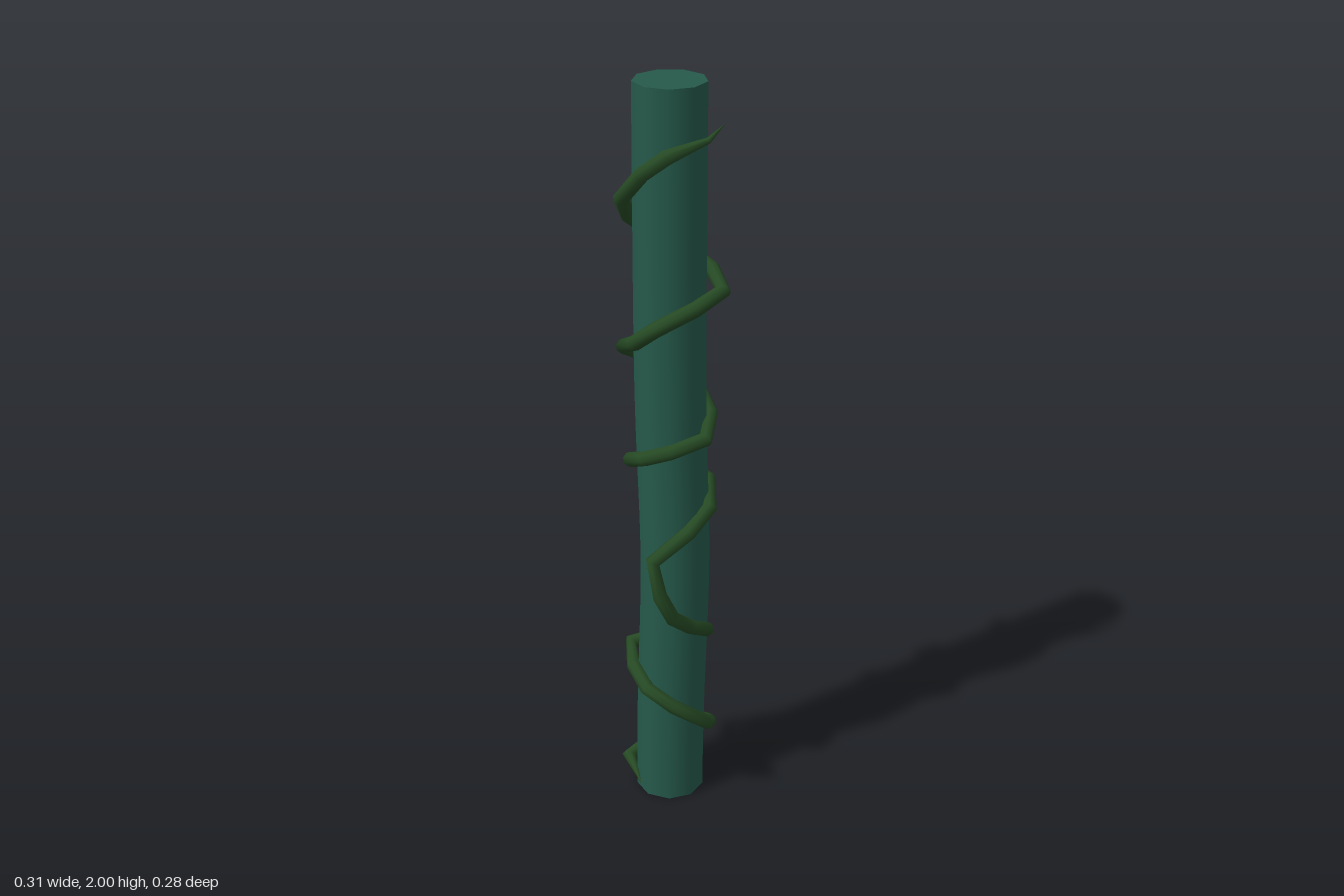
import * as THREE from 'three';

// Centreline of the climbing vine, bottom to top
const vinePath = [
  [-0.02, 0.03, 0.1], [-0.1, 0.065, 0.06], [-0.095, 0.08, -0.04], [-0.04, 0.105, -0.105],
  [0.02, 0.15, -0.12], [0.09, 0.205, -0.06], [0.135, 0.25, 0], [0.085, 0.32, 0.085],
  [0.01, 0.355, 0.105], [-0.07, 0.38, 0.07], [-0.135, 0.4, 0.01], [-0.065, 0.42, -0.09],
  [0.03, 0.45, -0.11], [0.095, 0.51, -0.04], [0.1, 0.55, 0.03], [0.08, 0.59, 0.08],
  [0.07, 0.67, 0.12], [0.04, 0.76, 0.115], [0.09, 0.83, 0.03], [0.1, 0.88, -0.04],
  [0.04, 0.92, -0.105], [-0.05, 0.94, -0.1], [-0.095, 0.96, -0.02], [-0.08, 1, 0.065],
  [0, 1.04, 0.1], [0.06, 1.065, 0.07], [0.11, 1.09, -0.01], [0.07, 1.13, -0.075],
  [0, 1.18, -0.105], [-0.085, 1.24, -0.06], [-0.12, 1.3, 0.045], [-0.03, 1.35, 0.1],
  [0.05, 1.41, 0.115], [0.1, 1.45, 0.02], [0.12, 1.48, -0.06], [0.05, 1.51, -0.1],
  [-0.04, 1.54, -0.105], [-0.09, 1.58, -0.05], [-0.1, 1.65, 0.04], [-0.08, 1.71, 0.09],
  [0, 1.79, 0.105], [0.06, 1.84, 0.08], [0.12, 1.875, 0], [0.137, 1.91, -0.04],
].map((p) => new THREE.Vector3(...p));

// Straight runs between points, so each bend stays kinked
class KinkedCurve extends THREE.Curve {
  getPoint(t, target = new THREE.Vector3()) {
    const s = t * (vinePath.length - 1);
    const i = Math.min(Math.floor(s), vinePath.length - 2);
    return target.lerpVectors(vinePath[i], vinePath[i + 1], s - i);
  }
  getPointAt(t, target) { return this.getPoint(t, target); }
  getTangentAt(t, target) { return this.getTangent(t, target); }
}

function makeTrunk(material) {
  const geometry = new THREE.CylinderGeometry(0.0925, 0.0925, 2, 9, 24);
  geometry.translate(0, 1, 0.002);
  // Gentle backward bow below the middle
  const pos = geometry.attributes.position;
  for (let i = 0; i < pos.count; i++) {
    const d = (pos.getY(i) - 0.7) / 0.25;
    pos.setZ(i, pos.getZ(i) - 0.021 * Math.exp(-d * d / 2));
  }
  const normals = geometry.attributes.normal.clone();
  geometry.setAttribute('normal', normals);
  const mesh = new THREE.Mesh(geometry, material);
  mesh.name = 'trunk';
  return mesh;
}

function makeVine(material) {
  const sides = 8;
  const last = vinePath.length - 1;
  const geometry = new THREE.TubeGeometry(new KinkedCurve(), last, 0.02, sides, false);
  // Taper both ends to a point
  const pos = geometry.attributes.position;
  const v = new THREE.Vector3();
  for (let ring = 0; ring <= last; ring++) {
    const k = ring === 0 || ring === last ? 0.02 : ring === last - 1 ? 0.4 : 1;
    for (let j = 0; j <= sides; j++) {
      const i = ring * (sides + 1) + j;
      v.fromBufferAttribute(pos, i).sub(vinePath[ring]).multiplyScalar(k).add(vinePath[ring]);
      pos.setXYZ(i, v.x, v.y, v.z);
    }
  }
  const mesh = new THREE.Mesh(geometry, material);
  mesh.name = 'vine';
  return mesh;
}

export function createModel() {
  const trunkGreen = new THREE.MeshStandardMaterial({ color: 0x265a4b });
  trunkGreen.name = 'trunk teal green';
  const vineGreen = new THREE.MeshStandardMaterial({ color: 0x264a24 });
  vineGreen.name = 'vine dark green';

  const model = new THREE.Group();
  model.name = 'vineWrappedTrunk';
  model.add(makeTrunk(trunkGreen), makeVine(vineGreen));
  return model;
}
